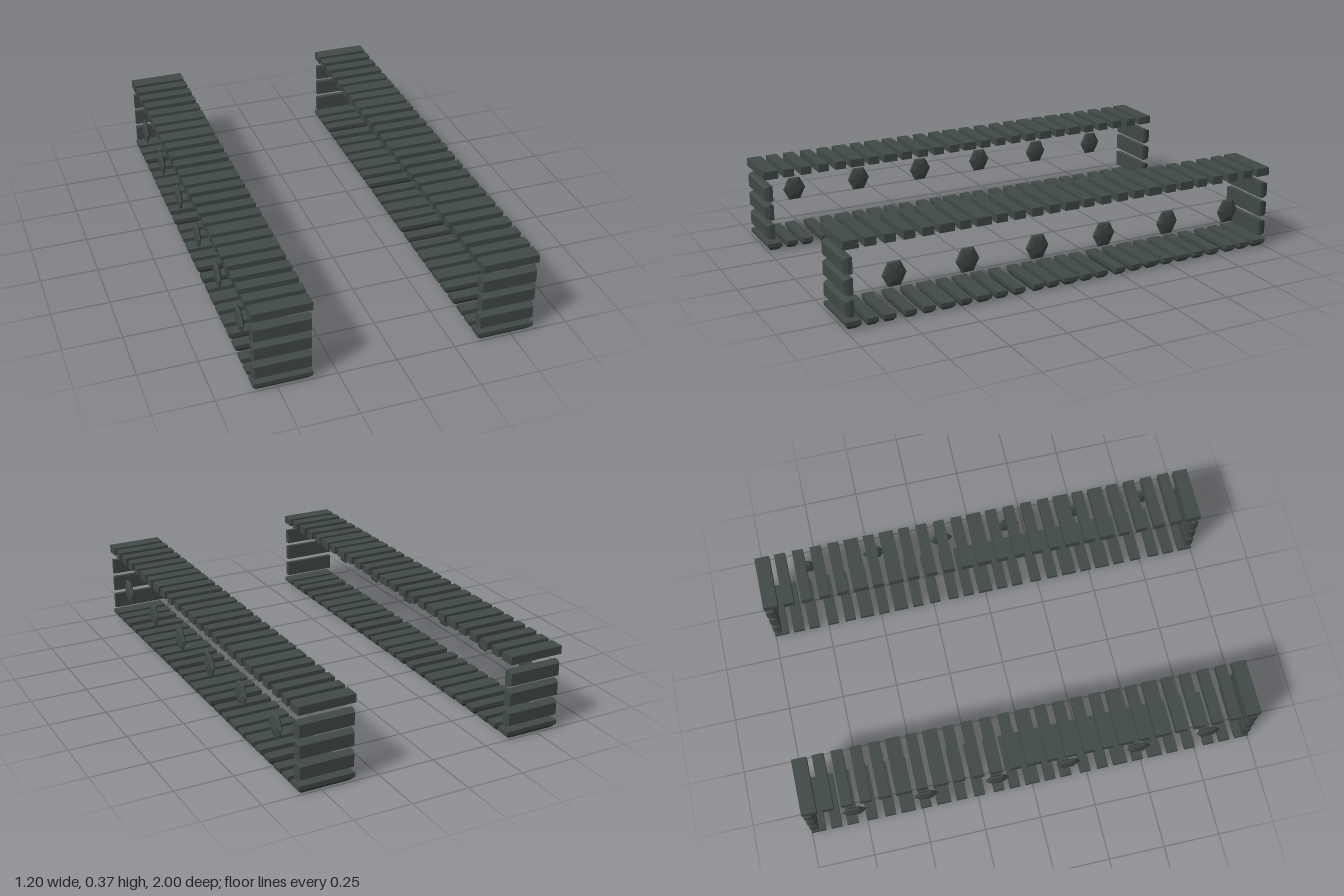
import * as THREE from 'three';

const TRACK_X = 0.475; // centre of each track
const LINK_W = 0.245;
const LINK_H = 0.036;

// Plate whose lower half tapers inward (the ground-facing side)
function taperedPlate(depth, cutX, cutZ) {
  const g = new THREE.BoxGeometry(LINK_W, LINK_H, depth, 1, 2, 1);
  const p = g.attributes.position;
  for (let i = 0; i < p.count; i++) {
    if (p.getY(i) < -0.001) {
      p.setX(i, p.getX(i) - Math.sign(p.getX(i)) * cutX);
      p.setZ(i, p.getZ(i) - Math.sign(p.getZ(i)) * cutZ);
    }
  }
  g.computeVertexNormals();
  return g;
}

export function createModel() {
  const model = new THREE.Group();
  model.name = 'trackPair';
  const rubber = new THREE.MeshStandardMaterial({ color: 0x414a46, flatShading: true });
  rubber.name = 'dark track grey';

  const wide = 0.065, narrow = 0.049;
  const topGeo = { [wide]: new THREE.BoxGeometry(LINK_W, LINK_H, wide), [narrow]: new THREE.BoxGeometry(LINK_W, LINK_H, narrow) };
  const bottomGeo = { [wide]: taperedPlate(wide, 0.018, 0.014), [narrow]: taperedPlate(narrow, 0.018, 0.008) };
  const endGeo = taperedPlate(0.07, 0.006, 0.008);

  // Six-sided flattened hub with its poles along x
  const hubGeo = new THREE.SphereGeometry(1, 6, 6);
  hubGeo.rotateY(Math.PI / 2);
  hubGeo.rotateZ(Math.PI / 2);
  hubGeo.scale(0.012, 0.06, 0.053);

  const wideSteps = [0, 5, 7, 12]; // wide links, counted from either end
  const doubledSteps = [2, 10];    // places where two links overlap

  for (const side of [1, -1]) {
    const track = new THREE.Group();
    track.name = side > 0 ? 'leftTrack' : 'rightTrack';
    track.position.x = side * TRACK_X;
    const add = (geometry, name, x, y, z) => {
      const mesh = new THREE.Mesh(geometry, rubber);
      mesh.name = name;
      mesh.position.set(x, y, z);
      track.add(mesh);
      return mesh;
    };

    // Upper and lower runs
    for (let i = 0; i < 25; i++) {
      const step = Math.min(i, 24 - i);
      const z = -0.9675 + i * 0.080625;
      const size = wideSteps.includes(step) ? wide : narrow;
      add(topGeo[size], 'topLink', 0, 0.352, z);
      // Overlapped lower links sit slightly off their upper partners
      let shift = 0;
      if (doubledSteps.includes(step)) shift = (step === 2 ? 1 : -1) * Math.sign(z) * 0.008;
      add(bottomGeo[size], 'bottomLink', 0, LINK_H / 2, z + shift);
    }

    // Upright plates closing both ends
    for (const end of [1, -1]) {
      for (const y of [0.09, 0.18, 0.267]) {
        add(endGeo, end > 0 ? 'frontPlate' : 'backPlate', 0, y, end * 0.982).rotation.x = -end * Math.PI / 2;
      }
    }

    // Wheel hubs along the outer side
    for (let i = 0; i < 6; i++) {
      add(hubGeo, 'wheelHub', side * 0.111, 0.198, -0.79 + i * 0.316);
    }
    model.add(track);
  }
  return model;
}
